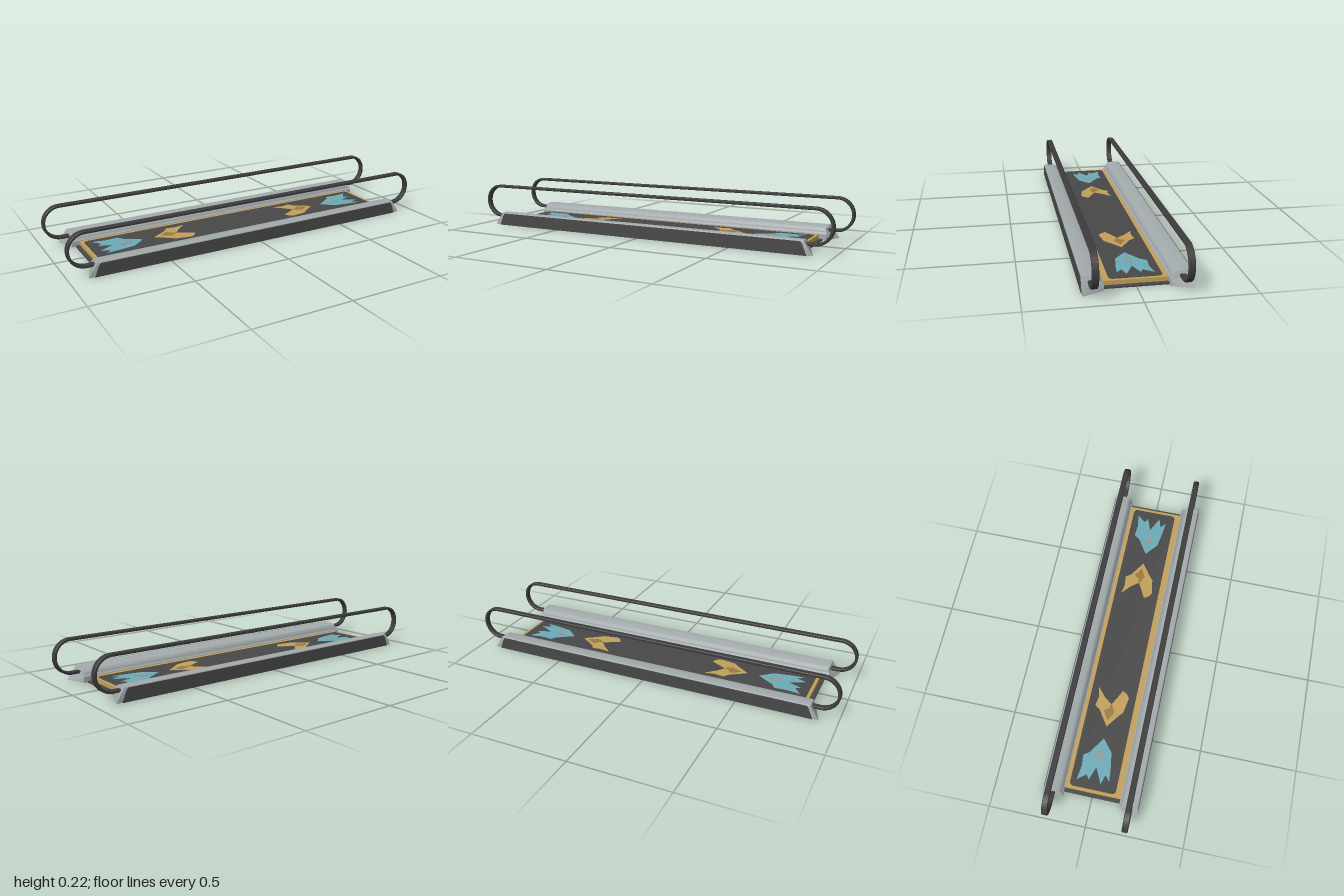
import * as THREE from 'three';
import { toCreasedNormals } from 'three/addons/utils/BufferGeometryUtils.js';

const mat = (name, color) => {
  const m = new THREE.MeshStandardMaterial({ color });
  m.name = name;
  return m;
};

function addMesh(parent, name, geometry, material) {
  const mesh = new THREE.Mesh(geometry, material);
  mesh.name = name;
  parent.add(mesh);
  return mesh;
}

function box(parent, name, size, pos, material) {
  return addMesh(parent, name, new THREE.BoxGeometry(...size).translate(...pos), material);
}

// Rounded rectangle centred on x = 0, y = cy
function roundedRect(target, hx, hy, r, cy = 0) {
  target.moveTo(-hx + r, cy - hy);
  target.lineTo(hx - r, cy - hy);
  target.absarc(hx - r, cy - hy + r, r, -Math.PI / 2, 0);
  target.lineTo(hx, cy + hy - r);
  target.absarc(hx - r, cy + hy - r, r, 0, Math.PI / 2);
  target.lineTo(-hx + r, cy + hy);
  target.absarc(-hx + r, cy + hy - r, r, Math.PI / 2, Math.PI);
  target.lineTo(-hx, cy - hy + r);
  target.absarc(-hx + r, cy - hy + r, r, Math.PI, Math.PI * 1.5);
  return target;
}

// Curb swept along x, with its ends sloped back at the top and inner edge
function curbGeometry() {
  const s = new THREE.Shape();
  s.moveTo(-0.243, 0.002);
  s.lineTo(-0.145, 0.002);
  s.lineTo(-0.145, 0.031);
  s.quadraticCurveTo(-0.154, 0.033, -0.154, 0.046);
  s.quadraticCurveTo(-0.156, 0.062, -0.18, 0.066);
  s.lineTo(-0.205, 0.07);
  s.lineTo(-0.235, 0.07);
  s.quadraticCurveTo(-0.243, 0.07, -0.243, 0.062);
  s.closePath();
  const g = new THREE.ExtrudeGeometry(s, { depth: 1.82, bevelEnabled: false, curveSegments: 5 });
  g.translate(0, 0, -0.91).rotateY(Math.PI / 2);
  const p = g.attributes.position;
  for (let i = 0; i < p.count; i++) {
    const back = 0.045 * THREE.MathUtils.smoothstep(p.getY(i), 0.025, 0.07)
      + 0.04 * (1 - THREE.MathUtils.smoothstep(p.getZ(i), 0.145, 0.175));
    p.setX(i, Math.sign(p.getX(i)) * (0.91 - Math.min(back, 0.06)));
  }
  return toCreasedNormals(g, 0.7);
}

function railGeometry() {
  const s = roundedRect(new THREE.Shape(), 0.995, 0.09, 0.0899, 0.13);
  s.holes.push(roundedRect(new THREE.Path(), 0.981, 0.076, 0.0759, 0.13));
  const g = new THREE.ExtrudeGeometry(s, {
    depth: 0.024, curveSegments: 14,
    bevelEnabled: true, bevelThickness: 0.003, bevelSize: 0.003, bevelOffset: -0.003, bevelSegments: 1,
  });
  return toCreasedNormals(g.translate(0, 0, 0.188), 0.6);
}

// Thin flat plate lying on the belt, outline given as [x, z]
function floorPlate(points, y, thickness) {
  const s = new THREE.Shape(points.map(([x, z]) => new THREE.Vector2(x, -z)));
  return new THREE.ExtrudeGeometry(s, { depth: thickness, bevelEnabled: false })
    .rotateX(-Math.PI / 2).translate(0, y, 0);
}

export function createModel() {
  const root = new THREE.Group();
  root.name = 'movingWalkway';

  const charcoal = mat('charcoal', 0x484848);
  const rubber = mat('rubber', 0x3c3c3c);
  const steel = mat('steel', 0xa3aaac);
  const gold = mat('gold', 0xc2a05a);
  const darkGold = mat('darkGold', 0x9c7a40);
  const cyan = mat('cyan', 0x6caab8);
  const greyPatch = mat('greyPatch', 0x8f9a9c);

  // Deck, belt and underside
  box(root, 'deckFrame', [1.66, 0.02, 0.31], [0, 0.018, 0], gold);
  box(root, 'underside', [1.7, 0.008, 0.484], [0, 0.004, 0], charcoal);
  const beltShape = roundedRect(new THREE.Shape(), 0.815, 0.12, 0.02);
  addMesh(root, 'belt', new THREE.ExtrudeGeometry(beltShape, { depth: 0.003, bevelEnabled: false })
    .rotateX(-Math.PI / 2).translate(0, 0.027, -0.005), charcoal);

  // Curbs and handrails, one side turned round for the other
  const curb = curbGeometry();
  const rail = railGeometry();
  const panelShape = new THREE.Shape([[-0.88, 0], [0.88, 0], [0.86, 0.05], [0.85, 0.065], [-0.85, 0.065], [-0.86, 0.05]]
    .map(([x, y]) => new THREE.Vector2(x, y)));
  const panel = new THREE.ExtrudeGeometry(panelShape, { depth: 0.003, bevelEnabled: false }).translate(0, 0, 0.242);
  for (const [name, turn] of [['frontSide', 0], ['backSide', Math.PI]]) {
    const side = new THREE.Group();
    side.name = name;
    side.rotation.y = turn;
    addMesh(side, 'curb', curb, steel);
    addMesh(side, 'outerPanel', panel, charcoal);
    addMesh(side, 'handrail', rail, rubber);
    root.add(side);
  }

  // Painted arrows: cyan pair points inward, gold pair points outward
  const cyanArrow = [[0.545, -0.005], [0.63, -0.06], [0.65, -0.09], [0.71, -0.085], [0.78, -0.095],
    [0.745, -0.05], [0.77, -0.035], [0.7, -0.01], [0.78, 0.03], [0.73, 0.045], [0.76, 0.07], [0.7, 0.065], [0.61, 0.05]];
  const goldArrow = [[0.482, -0.005], [0.4, -0.06], [0.38, -0.088], [0.335, -0.08], [0.28, -0.09],
    [0.33, -0.045], [0.36, -0.005], [0.275, 0.04], [0.29, 0.065], [0.31, 0.078], [0.39, 0.065], [0.42, 0.04]];
  const cyanPatch = [[0.6, -0.012], [0.63, -0.028], [0.67, -0.012], [0.64, -0.002], [0.67, 0.015], [0.62, 0.01]];
  const goldPatch = [[0.45, -0.008], [0.4, -0.038], [0.385, -0.015], [0.355, -0.005], [0.4, 0.018]];
  for (const sign of [1, -1]) {
    const flip = (pts) => pts.map(([x, z]) => [sign * x, z]);
    addMesh(root, 'cyanArrow', floorPlate(flip(cyanArrow), 0.029, 0.0025), cyan);
    addMesh(root, 'cyanArrowPatch', floorPlate(flip(cyanPatch), 0.029, 0.004), greyPatch);
    addMesh(root, 'goldArrow', floorPlate(flip(goldArrow), 0.029, 0.0025), gold);
    addMesh(root, 'goldArrowPatch', floorPlate(flip(goldPatch), 0.029, 0.004), darkGold);
  }
  return root;
}
